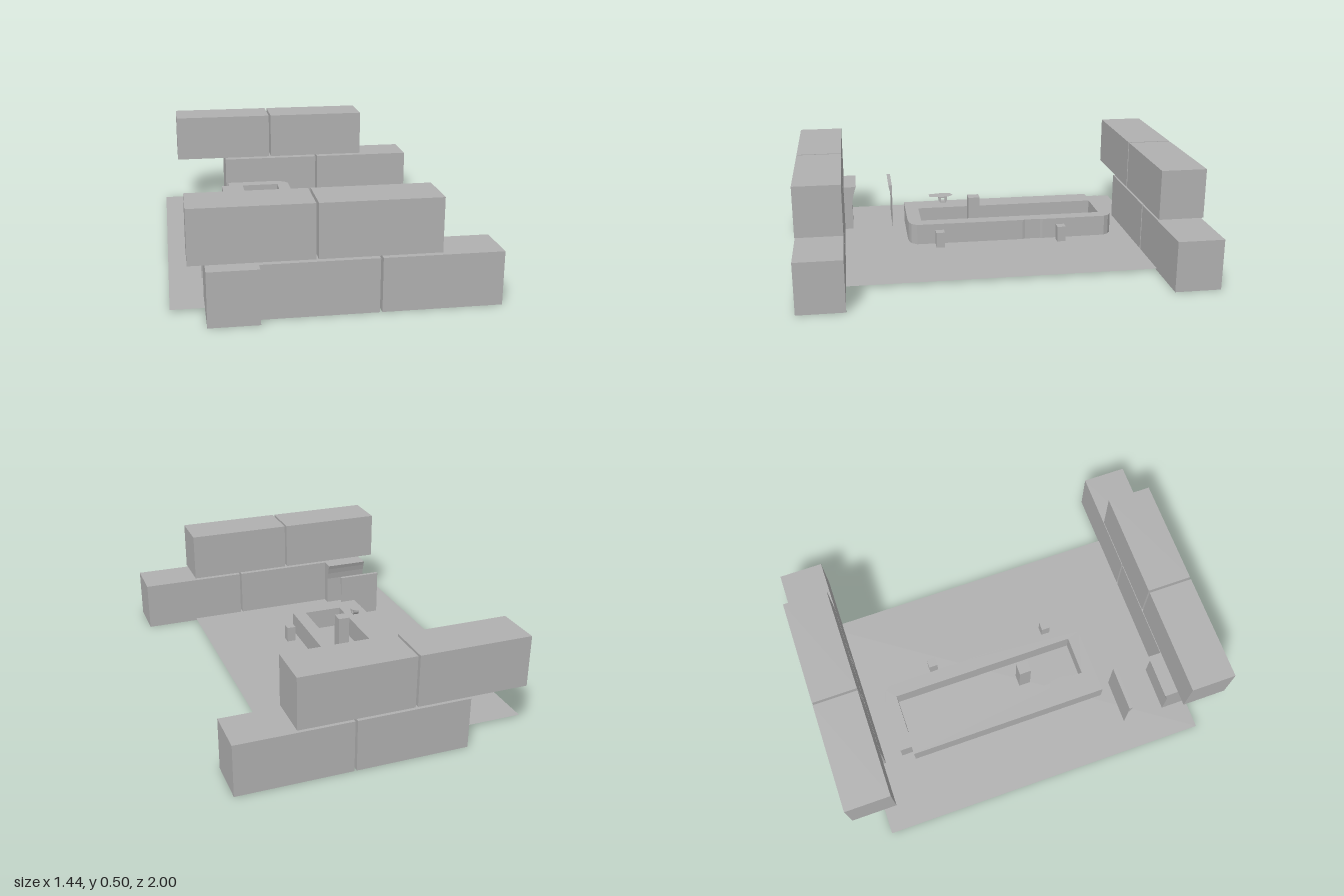
import * as THREE from 'three';

export function createModel() {
  const model = new THREE.Group();
  const stone = new THREE.MeshStandardMaterial({ color: 0xb0b0b0, side: THREE.DoubleSide });
  stone.name = 'stone grey';

  const add = (name, geometry) => {
    const mesh = new THREE.Mesh(geometry, stone);
    mesh.name = name;
    model.add(mesh);
    return mesh;
  };
  // Box given by its minimum and maximum corners
  const box = (name, x0, x1, y0, y1, z0, z1) =>
    add(name, new THREE.BoxGeometry(x1 - x0, y1 - y0, z1 - z0))
      .position.set((x0 + x1) / 2, (y0 + y1) / 2, (z0 + z1) / 2);
  const outline = (points) => new THREE.Shape(points.map(([a, b]) => new THREE.Vector2(a, b)));
  const extrude = (shape, depth) =>
    new THREE.ExtrudeGeometry(shape, { depth, bevelEnabled: false, curveSegments: 6 });
  // Profile in (z, y), extruded from x1 towards -x
  const sideProfile = (name, points, x1, width, hole) => {
    const shape = outline(points);
    if (hole) shape.holes.push(outline(hole));
    add(name, extrude(shape, width).rotateY(-Math.PI / 2)).position.x = x1;
  };

  // Ground sheet
  const ground = add('groundSheet', new THREE.PlaneGeometry(1.17, 1.666).rotateX(-Math.PI / 2));
  ground.position.set(-0.135, 0.01, -0.021);

  // Two walls of staggered blocks, front and back
  for (const [side, z0, z1] of [['front', 0.726, 0.948], ['back', -1, -0.778]]) {
    for (const [row, start, y0, y1] of [['Lower', -0.365, 0, 0.247], ['Upper', -0.642, 0.258, 0.503]]) {
      for (let i = 0; i < 2; i++) {
        const x0 = start + i * 0.546;
        box(side + row + 'Block', x0, x0 + 0.535, y0, y1, z0, z1);
      }
    }
  }

  // Broken block lying crosswise: solid end and the thin far shell
  sideProfile('brokenBlockEnd', [[1, 0], [1, 0.247], [0.66, 0.247], [0.668, 0.225], [0.676, 0.195],
    [0.682, 0.16], [0.682, 0]], -0.346, 0.223);
  sideProfile('brokenBlockShell', [[0.466, 0], [0.466, 0.247], [0.485, 0.247], [0.48, 0.22],
    [0.468, 0.185], [0.468, 0]], -0.346, 0.223);

  // Long frame with rounded inner-side corners and a rectangular opening
  const frame = outline([[-0.4, -0.625], [-0.36, -0.625], [-0.36, -0.685], [-0.11, -0.685],
    [-0.055, -0.677], [-0.03, -0.66], [-0.015, -0.635], [-0.012, -0.303], [-0.016, -0.29],
    [-0.016, -0.21], [-0.011, -0.196], [-0.013, 0.357], [-0.035, 0.385], [-0.06, 0.395],
    [-0.1, 0.4], [-0.4, 0.4]]);
  frame.holes.push(outline([[-0.28, -0.618], [-0.28, 0.33], [-0.08, 0.33], [-0.08, -0.618]]));
  add('frame', extrude(frame, 0.106).rotateX(Math.PI / 2)).position.y = 0.131;

  // Tall post in the opening and two short posts beside the frame
  box('tallPost', -0.208, -0.15, 0.025, 0.22, 0.012, 0.072);
  for (const z of [-0.388, 0.243]) box('shortPost', 0.019, 0.064, 0.03, 0.11, z - 0.022, z + 0.022);

  // Flat seat with a small bracket under it
  const seat = outline([[-0.315, 0.138], [-0.288, 0.155], [-0.28, 0.205], [-0.293, 0.268],
    [-0.337, 0.268], [-0.35, 0.2], [-0.343, 0.15]]);
  add('seat', new THREE.ShapeGeometry(seat).rotateX(Math.PI / 2)).position.y = 0.19;
  sideProfile('seatBracket', [[0.17, 0.189], [0.17, 0.165], [0.178, 0.152], [0.208, 0.152],
    [0.216, 0.165], [0.216, 0.189]], -0.3, 0.03,
  [[0.182, 0.158], [0.182, 0.178], [0.204, 0.178], [0.204, 0.158]]);

  return model;
}
